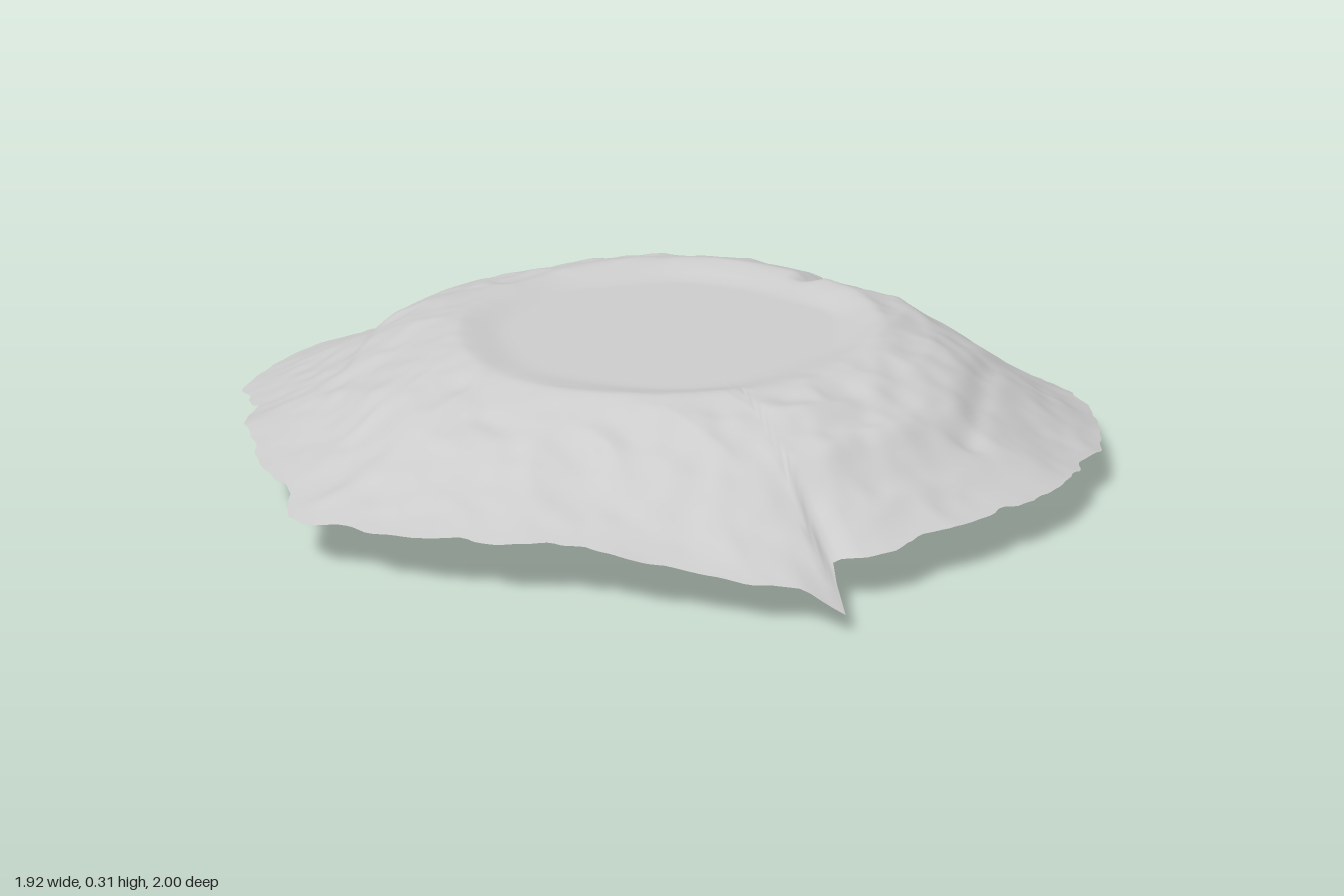
import * as THREE from 'three';

// Rim by angle (degrees from +x towards +z): [angle, radius, height]
const RIM = [
  [0, 0.91, 0.115], [19, 0.92, 0.1], [22.4, 0.91, 0.085], [24, 1.045, 0.05], [27.5, 0.99, 0.085],
  [43, 0.905, 0.11], [57, 0.88, 0.13], [78, 0.94, 0.12], [88, 1.0, 0.105], [92, 1.0, 0.105],
  [97, 0.95, 0.115], [122, 0.935, 0.13], [132, 0.913, 0.11], [143, 1.0, 0.08], [163, 1.0, 0.08],
  [180, 0.93, 0.085], [202, 0.98, 0.07], [214, 0.975, 0.075], [228, 0.93, 0.065], [250, 0.95, 0.065],
  [260, 0.92, 0.04], [270, 1.008, 0.01], [281, 0.93, 0.035], [302, 0.935, 0.08], [323, 0.95, 0.09],
  [341, 0.94, 0.11], [360, 0.91, 0.115],
];
// Slope height at radius 0.7: [angle, height]
const SLOPE = [
  [0, 0.235], [50, 0.2], [90, 0.225], [120, 0.21], [180, 0.24], [230, 0.22], [270, 0.17], [320, 0.225], [360, 0.235],
];

const { smoothstep: smooth, lerp, clamp, degToRad } = THREE.MathUtils;

function rowAt(rows, deg) {
  let i = 0;
  while (i < rows.length - 2 && deg >= rows[i + 1][0]) i++;
  const t = (deg - rows[i][0]) / (rows[i + 1][0] - rows[i][0]);
  return rows[i].map((v, k) => lerp(v, rows[i + 1][k], t));
}

// Smooth repeatable noise in -1..1
function hash(i, j) {
  const s = Math.sin(i * 127.1 + j * 311.7) * 43758.5453;
  return (s - Math.floor(s)) * 2 - 1;
}
function noise(x, y) {
  const i = Math.floor(x), j = Math.floor(y);
  const u = smooth(x - i, 0, 1), v = smooth(y - j, 0, 1);
  return lerp(lerp(hash(i, j), hash(i + 1, j), u), lerp(hash(i, j + 1), hash(i + 1, j + 1), u), v);
}

// Grooves in the slope: [x1, z1, x2, z2]
const GROOVES = [
  [-0.03, -0.46, -0.13, -0.82], [-0.02, -0.48, 0.03, -0.85], [-0.78, 0.2, -0.5, 0.54],
  [0.5, -0.5, 0.75, -0.15], [-0.52, -0.35, -0.62, -0.6],
];
function grooveDepth(x, z) {
  let d = 0;
  for (const [x1, z1, x2, z2] of GROOVES) {
    const dx = x2 - x1, dz = z2 - z1;
    const t = clamp(((x - x1) * dx + (z - z1) * dz) / (dx * dx + dz * dz), 0, 1);
    const dist = Math.hypot(x - x1 - dx * t, z - z1 - dz * t);
    d += 0.012 * Math.exp(-((dist / 0.027) ** 2));
  }
  return d;
}

// Point on the shell at an angle and a fraction of the way to the rim
function shellPoint(deg, t) {
  const a = degToRad(deg);
  const [, rim, rimY] = rowAt(RIM, deg);
  const [, midY] = rowAt(SLOPE, deg);
  const c = Math.cos(a), s = Math.sin(a);
  const ragged = 0.012 * noise(c * 11 + 40, s * 11) + 0.008 * noise(c * 25, s * 25 + 9);
  const r = t * (rim + ragged * smooth(t, 0.6, 1));
  const x = r * c, z = r * s;

  // Flat hollow, soft lip, shoulder, then a slope that flattens towards the rim
  const floorY = 0.286 - 0.01 * z;
  const floorR = 0.35 + 0.03 * noise(c * 2 + 5, s * 2);
  const lip = 0.3 - 0.012 * s + 0.008 * Math.abs(Math.sin(2 * a));
  const shoulder = lerp(lip, midY, 0.45) + 0.01 - 0.008 * s;
  const knots = [[0, floorY], [floorR, floorY], [0.47, lip], [0.58, shoulder], [0.7, midY], [rim, rimY]];
  let k = 0;
  while (k < 4 && r > knots[k + 1][0]) k++;
  const u = (r - knots[k][0]) / (knots[k + 1][0] - knots[k][0]);
  const ease = [u, smooth(u, 0, 1), u, u, u + 0.4 * u * (1 - u)][k];
  let y = lerp(knots[k][1], knots[k + 1][1], ease);

  // Wrinkles, stronger on the slope than near the rim
  const rough = smooth(r, 0.38, 0.6) * (1 - 0.7 * smooth(t, 0.85, 1));
  const fold = 0.5 - Math.abs(noise(x * 7 + noise(z * 4, x * 4), z * 7 + 20));
  y += rough * (0.009 * noise(x * 5 + 3, z * 5) + 0.012 * fold + 0.004 * noise(x * 22, z * 22));
  y -= grooveDepth(x, z) * (1 - smooth(t, 0.85, 1));

  // Small point hanging from the rim
  const hang = Math.max(0, 1 - Math.abs(deg - 213) / 4);
  y -= 0.068 * hang * smooth(t, 0.93, 1);
  return [x, Math.max(0, y), z];
}

function shellGeometry(segments, rings) {
  const positions = [...shellPoint(0, 0)], index = [];
  for (let j = 1; j <= rings; j++) {
    for (let i = 0; i < segments; i++) positions.push(...shellPoint((i / segments) * 360, j / rings));
  }
  const id = (i, j) => 1 + (j - 1) * segments + (i % segments);
  for (let i = 0; i < segments; i++) {
    index.push(0, id(i + 1, 1), id(i, 1));
    for (let j = 1; j < rings; j++) {
      index.push(id(i, j), id(i + 1, j), id(i, j + 1));
      index.push(id(i + 1, j), id(i + 1, j + 1), id(i, j + 1));
    }
  }
  const g = new THREE.BufferGeometry();
  g.setAttribute('position', new THREE.Float32BufferAttribute(positions, 3));
  g.setIndex(index);
  g.computeVertexNormals();
  return g;
}

export function createModel() {
  const group = new THREE.Group();
  group.name = 'rockMound';
  const material = new THREE.MeshStandardMaterial({ color: 0xcccccc, side: THREE.DoubleSide });
  const shell = new THREE.Mesh(shellGeometry(360, 80), material);
  shell.name = 'moundShell';
  group.add(shell);
  return group;
}
